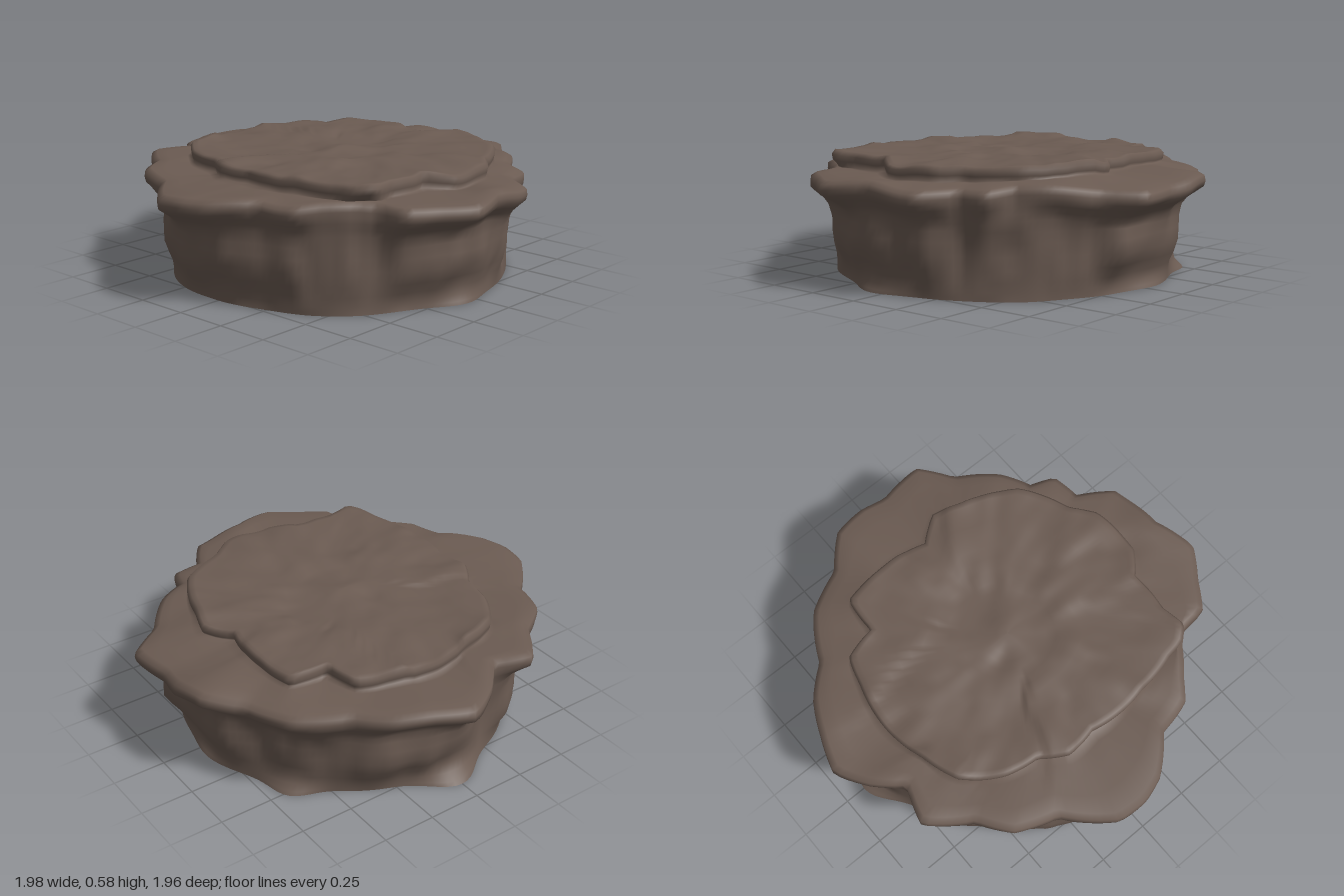
import * as THREE from 'three';

const SEG = 180;

// Plan outlines as x, z pairs, running from +x towards +z
const RIM = [0.99, 0.2, 0.89, 0.34, 0.8, 0.47, 0.67, 0.48, 0.6, 0.54, 0.5, 0.66, 0.43, 0.75, 0.26, 0.79, 0.1, 0.94,
  -0.02, 0.98, -0.16, 0.97, -0.36, 0.78, -0.56, 0.71, -0.66, 0.56, -0.85, 0.42, -0.79, 0.24, -0.91, 0.13, -1, -0.03,
  -0.94, -0.2, -0.86, -0.36, -0.73, -0.48, -0.6, -0.7, -0.4, -0.8, -0.27, -0.94, -0.1, -0.97, 0.02, -0.95, 0.24, -0.98,
  0.35, -0.82, 0.52, -0.68, 0.6, -0.54, 0.72, -0.5, 0.74, -0.36, 0.9, -0.26, 0.93, 0];
const TERRACE = [0.73, 0.05, 0.64, 0.16, 0.63, 0.36, 0.65, 0.52, 0.5, 0.55, 0.3, 0.59, 0, 0.59, -0.15, 0.61, -0.27, 0.53,
  -0.43, 0.5, -0.6, 0.38, -0.66, 0.2, -0.7, 0, -0.66, -0.25, -0.62, -0.38, -0.46, -0.42, -0.45, -0.6, -0.25, -0.63,
  0, -0.6, 0.12, -0.69, 0.25, -0.65, 0.4, -0.6, 0.52, -0.53, 0.64, -0.3, 0.72, -0.2];

// Radius of an outline at a given angle
function outline(points) {
  const polar = [];
  for (let i = 0; i < points.length; i += 2) {
    const a = Math.atan2(points[i + 1], points[i]);
    polar.push([a < 0 ? a + Math.PI * 2 : a, Math.hypot(points[i], points[i + 1])]);
  }
  polar.sort((p, q) => p[0] - q[0]);
  const first = polar[0], last = polar[polar.length - 1];
  polar.unshift([last[0] - Math.PI * 2, last[1]]);
  polar.push([first[0] + Math.PI * 2, first[1]]);
  return (a) => {
    let i = 1;
    while (i < polar.length - 1 && polar[i][0] < a) i++;
    const [p, q] = [polar[i - 1], polar[i]];
    return THREE.MathUtils.lerp(p[1], q[1], (a - p[0]) / (q[0] - p[0]));
  };
}

// Smooth seeded 3D noise in -1..1
function hash(x, y, z) {
  const s = Math.sin(x * 127.1 + y * 311.7 + z * 74.7) * 43758.5453;
  return (s - Math.floor(s)) * 2 - 1;
}
function noise(x, y, z) {
  const [i, j, k] = [x, y, z].map(Math.floor);
  const [u, v, w] = [x - i, y - j, z - k].map((t) => t * t * (3 - 2 * t));
  let sum = 0;
  for (let n = 0; n < 8; n++) {
    const a = n & 1, b = (n >> 1) & 1, c = n >> 2;
    sum += hash(i + a, j + b, k + c) * (a ? u : 1 - u) * (b ? v : 1 - v) * (c ? w : 1 - w);
  }
  return sum;
}

// Joins rings of points into one smooth skin
function loft(rings, material, name) {
  const pos = [], index = [];
  rings.forEach((ring, r) => {
    for (let s = 0; s < SEG; s++) {
      pos.push(...ring((s / SEG) * Math.PI * 2));
      if (r === 0) continue;
      const a = (r - 1) * SEG + s, b = (r - 1) * SEG + (s + 1) % SEG;
      index.push(a, a + SEG, b, b, a + SEG, b + SEG);
    }
  });
  const geo = new THREE.BufferGeometry();
  geo.setAttribute('position', new THREE.Float32BufferAttribute(pos, 3));
  geo.setIndex(index);
  geo.computeVertexNormals();
  const mesh = new THREE.Mesh(geo, material);
  mesh.name = name;
  return mesh;
}

export function createModel() {
  const group = new THREE.Group();
  group.name = 'rockSlab';
  const stone = new THREE.MeshStandardMaterial({ color: 0x6b5b52 });
  stone.name = 'brown stone';

  const rimAt = outline(RIM), terraceAt = outline(TERRACE);
  const smooth = THREE.MathUtils.smoothstep;
  const bell = (d) => Math.exp(-d * d);
  const bump = (a, at, width) => bell(Math.atan2(Math.sin(a - at), Math.cos(a - at)) / width);
  const baseAt = (a) => 0.785 + 0.02 * noise(Math.cos(a) * 3, 1, Math.sin(a) * 3);
  // Spread toes at the foot of the left, right and back
  const toeAt = (a) => 0.1 * bump(a, Math.PI, 0.18) + 0.05 * bump(a, 0.1, 0.2)
    + 0.05 * bump(a, 4.65, 0.2) + 0.07 * bump(a, 4.05, 0.15);

  // Wall: height, share of the overhang, share of the toe
  const wall = [[0, 0, 1], [0.015, 0, 0.85], [0.04, 0.02, 0.45], [0.08, 0.08, 0.2], [0.13, 0.24, 0], [0.19, 0.36, 0],
    [0.25, 0.37, 0], [0.3, 0.37, 0], [0.34, 0.42, 0], [0.37, 0.55, 0], [0.4, 0.78, 0], [0.425, 0.97, 0],
    [0.45, 1, 0], [0.475, 0.97, 0]].map(([y, over, toe]) => (a) => {
    const c = Math.cos(a), s = Math.sin(a), base = baseAt(a);
    const rough = Math.sin(Math.PI * Math.min(y / 0.45, 1));
    const r = base + (rimAt(a) - base) * over + toeAt(a) * toe
      + rough * (0.035 * noise(c * 4.5, y * 5, s * 4.5) + 0.014 * noise(c * 11, y * 9, s * 11));
    const lift = y > 0.3 ? 0.018 * noise(c * 4, 7, s * 4) : 0;
    return [c * r, y + lift, s * r];
  });

  // Weathered top: ledge, raised terrace and a shallow inner shelf
  function topHeight(x, z) {
    const shelf = smooth(noise(x * 2.6 + 4, 2, z * 2.6 + 1), -0.02, 0.08);
    const knob = 0.016 * bell((x - 0.02) / 0.12) * bell((z + 0.02) / 0.1);
    const dip = 0.02 * bell((x + 0.1) / 0.07) * bell((z - 0.08) / 0.05);
    return 0.014 * shelf + knob - dip + 0.012 * noise(x * 6, 3, z * 6) + 0.006 * noise(x * 14, 5, z * 14);
  }
  const ledge = [0, 0.3, 0.6, 0.85, 1].map((t) => (a) => {
    const rim = rimAt(a), edge = Math.min(terraceAt(a), rim * 0.985);
    const r = THREE.MathUtils.lerp(rim * 0.965, Math.min(edge * 0.99, rim * 0.95), t);
    const x = Math.cos(a) * r, z = Math.sin(a) * r;
    const lift = 0.018 * noise(Math.cos(a) * 4, 7, Math.sin(a) * 4) * (1 - t);
    return [x, 0.49 + lift + topHeight(x, z) * 0.5 * t + 0.015 * t * smooth(-z, 0.2, 0.7), z];
  });
  const terrace = [1, 1.005, 0.985, 0.95, 0.88, 0.8, 0.72, 0.64, 0.56, 0.48, 0.4, 0.33, 0.26, 0.2, 0.14, 0.08, 0.04, 0]
    .map((t, i) => (a) => {
      const edge = Math.min(terraceAt(a), rimAt(a) * 0.985);
      // Outline details fade towards the middle
      const r = t * THREE.MathUtils.lerp(0.65, edge, smooth(t, 0.1, 0.9));
      const x = Math.cos(a) * r, z = Math.sin(a) * r;
      const level = i === 0 ? 0.515 : i === 1 ? 0.54 : 0.552;
      return [x, level + topHeight(x, z) * (i < 2 ? 0.6 : 1), z];
    });

  // Flat underside
  const underside = [() => [0, 0, 0], wall[0]];

  group.add(loft([...wall, ...ledge, ...terrace], stone, 'rockBody'));
  group.add(loft(underside, stone, 'underside'));
  return group;
}
